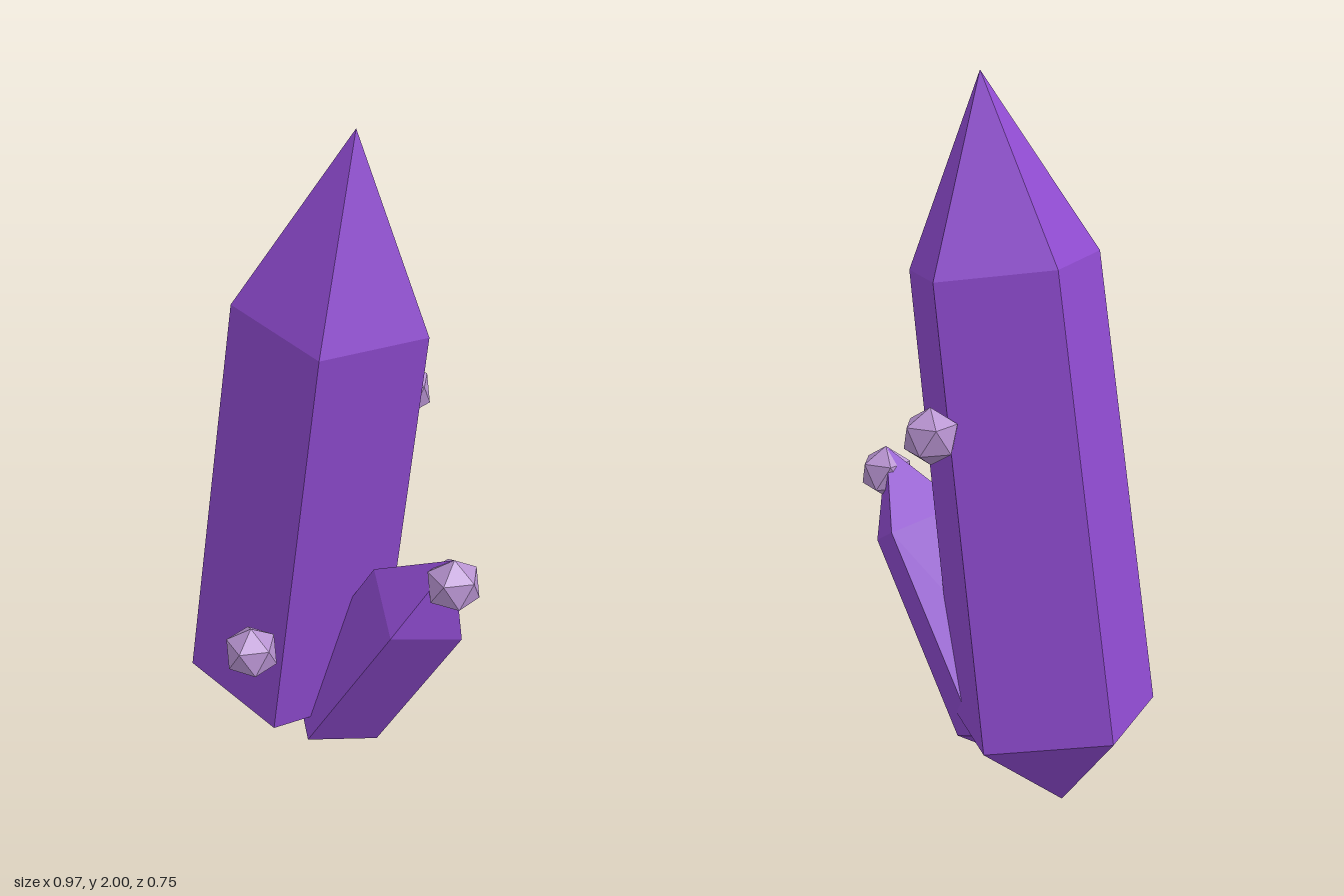
import * as THREE from 'three';

export function createModel() {
  const model = new THREE.Group();
  model.name = 'crystalCluster';

  const purple = new THREE.MeshStandardMaterial({ color: 0x8f4bd0, flatShading: true });
  purple.name = 'purple crystal';
  const lilac = new THREE.MeshStandardMaterial({ color: 0xb793d0, flatShading: true });
  lilac.name = 'pale lilac';

  // Faceted prism with a point at both ends; profile is [radius, height along axis]
  function addCrystal(name, profile, sides, phiStart, lean, x, y) {
    const points = profile.map(([r, h]) => new THREE.Vector2(r, h));
    const crystal = new THREE.Mesh(
      new THREE.LatheGeometry(points, sides, phiStart, Math.PI * 2), purple);
    crystal.name = name;
    crystal.position.set(x, y, 0);
    crystal.rotation.z = -lean;
    model.add(crystal);
  }

  // Main five-sided crystal
  addCrystal('mainCrystal',
    [[0, 0], [0.295, 0.247], [0.27, 1.517], [0, 2.0216]],
    5, Math.PI, 0.147, -0.243, 0);

  // Small four-sided crystal leaning outward
  addCrystal('sideCrystal',
    [[0, 0], [0.157, 0.118], [0.152, 0.73], [0, 0.966]],
    4, THREE.MathUtils.degToRad(105), 0.533, -0.08, 0.07);

  // Small floating nodules, each with a vertex pointing straight up
  const noduleGeometry = new THREE.IcosahedronGeometry(0.078, 0);
  noduleGeometry.rotateZ(-Math.atan(2 / (1 + Math.sqrt(5))));
  const nodules = {
    frontNodule: [-0.043, 0.532, 0.31],
    backNodule: [-0.043, 1.108, -0.31],
    tipNodule: [0.413, 0.825, 0],
  };
  for (const [name, position] of Object.entries(nodules)) {
    const nodule = new THREE.Mesh(noduleGeometry, lilac);
    nodule.name = name;
    nodule.position.set(...position);
    model.add(nodule);
  }

  return model;
}
